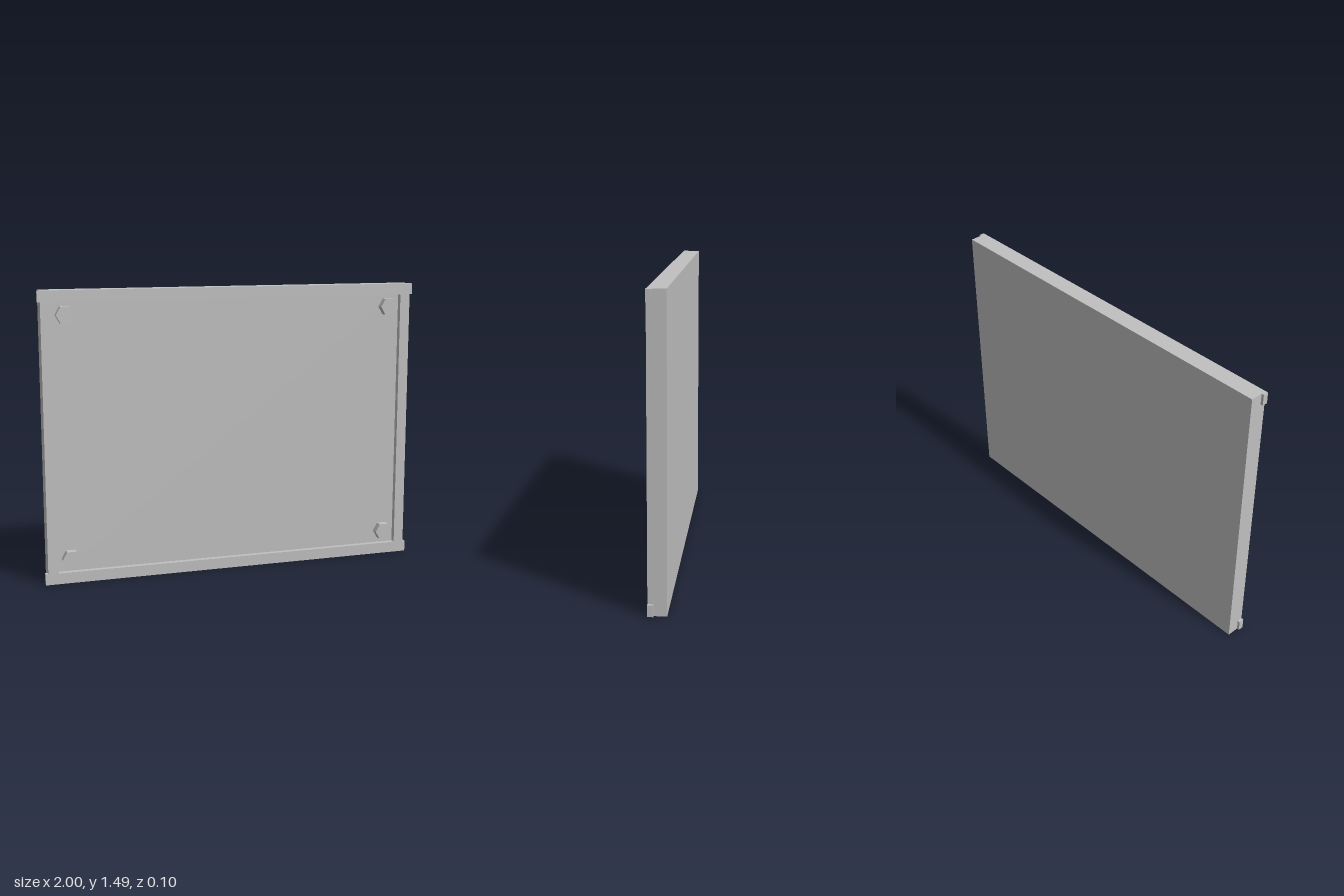
import * as THREE from 'three';

const H = 1.485;        // panel height
const SIDE = 0.987;     // half width of the panel
const BACK = -0.05, FLOOR = 0.012, FACE = 0.04, BOLT_TOP = 0.05;

export function createModel() {
  const group = new THREE.Group();
  const grey = new THREE.MeshStandardMaterial({ color: 0xc0c0c0 });
  grey.name = 'grey metal';

  const add = (name, geometry, x, y, z) => {
    const mesh = new THREE.Mesh(geometry, grey);
    mesh.name = name;
    mesh.position.set(x, y, z);
    group.add(mesh);
    return mesh;
  };

  // Solid back panel
  add('backPanel', new THREE.BoxGeometry(SIDE * 2, H, FLOOR - BACK), 0, H / 2, (FLOOR + BACK) / 2);

  // Raised front frame, with small tabs sticking out at the four corners
  const tab = 0.057;
  const half = [[1, 0], [1, tab], [SIDE, tab], [SIDE, H - tab], [1, H - tab], [1, H]];
  const mirrored = half.map(([x, y]) => [-x, y]).reverse();
  const frame = new THREE.Shape([...half, ...mirrored].map(([x, y]) => new THREE.Vector2(x, y)));

  // Opening with slightly rounded corners
  const w = 0.933, b = 0.057, t = H - b, r = 0.007;
  const opening = new THREE.Path();
  opening.moveTo(-w + r, b);
  opening.absarc(-w + r, b + r, r, -Math.PI / 2, -Math.PI, true);
  opening.absarc(-w + r, t - r, r, Math.PI, Math.PI / 2, true);
  opening.absarc(w - r, t - r, r, Math.PI / 2, 0, true);
  opening.absarc(w - r, b + r, r, 0, -Math.PI / 2, true);
  opening.closePath();
  frame.holes.push(opening);
  add('frontFrame', new THREE.ExtrudeGeometry(frame, {
    depth: FACE - FLOOR, bevelEnabled: false, curveSegments: 4,
  }), 0, 0, FLOOR);

  // Hexagonal bolts in the corners of the recess, corners pointing sideways
  const hex = new THREE.Shape();
  for (let i = 0; i < 6; i++) {
    const a = i * Math.PI / 3;
    hex[i ? 'lineTo' : 'moveTo'](0.048 * Math.cos(a), 0.048 * Math.sin(a));
  }
  hex.closePath();
  const bolt = new THREE.ExtrudeGeometry(hex, { depth: BOLT_TOP - FLOOR, bevelEnabled: false });
  for (const [side, x] of [['left', 0.866], ['right', -0.866]]) {
    add(side + 'LowerBolt', bolt, x, 0.125, FLOOR);
    add(side + 'UpperBolt', bolt, x, 1.364, FLOOR);
  }

  return group;
}
